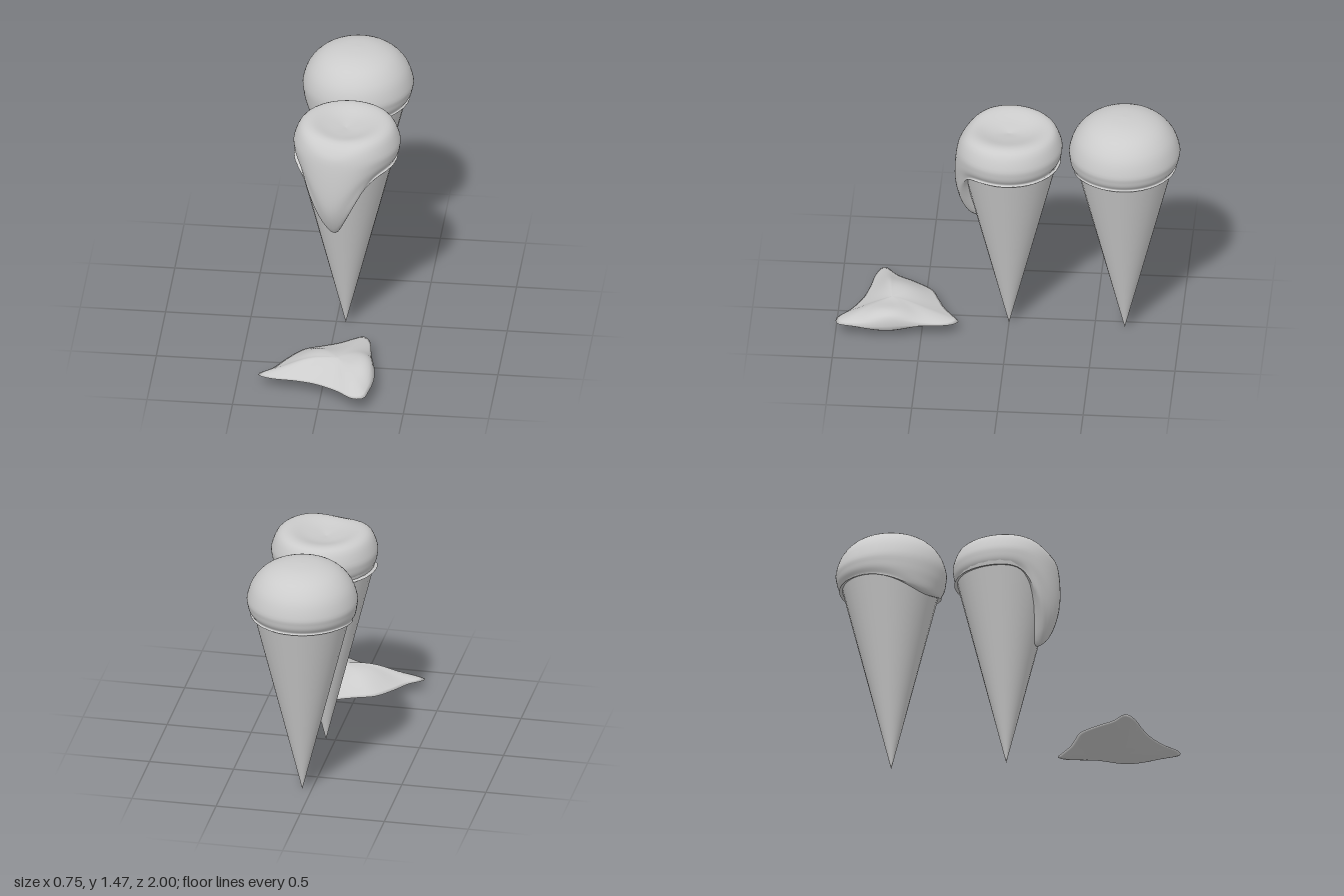
import * as THREE from 'three';

const material = new THREE.MeshStandardMaterial({ color: 0xcccccc, side: THREE.DoubleSide });
const CONE_H = 1.2, SLOPE = 0.248, CONE_X = 0.055;

// Smooth skin from rows of points; each row is a closed loop
function loft(rows) {
  const cols = rows[0].length, index = [];
  for (let i = 0; i < rows.length - 1; i++) {
    for (let j = 0; j < cols; j++) {
      const k = (j + 1) % cols;
      const a = i * cols + j, b = (i + 1) * cols + j, c = (i + 1) * cols + k, d = i * cols + k;
      index.push(a, b, c, a, c, d);
    }
  }
  const g = new THREE.BufferGeometry();
  g.setAttribute('position', new THREE.Float32BufferAttribute(rows.flat(2), 3));
  g.setIndex(index);
  g.computeVertexNormals();
  return g;
}

function mesh(name, geometry) {
  const m = new THREE.Mesh(geometry, material);
  m.name = name;
  return m;
}

const deg = Math.PI / 180;
const bell = (d, width) => Math.exp(-((d / width) ** 2));
const lerp = THREE.MathUtils.lerp;

// Scoop: crown(a) gives the [radius, y] points above the widest line,
// rim(a) the height of the lower edge, which follows the cone
function scoop(crown, rim, radius) {
  const cols = 72, steps = 32;
  const profiles = [];
  for (let j = 0; j < cols; j++) {
    const a = (j / cols) * 2 * Math.PI - Math.PI;
    const R = radius(a), b = rim(a);
    const top = crown(a);
    const shoulder = top[top.length - 1][1];
    const h = shoulder - b;
    const edge = b * SLOPE;
    const long = THREE.MathUtils.clamp((h - 0.15) / 0.35, 0, 1);
    const pts = [
      ...top.map(([r, y]) => [r * R, y]),
      [R * lerp(0.99, 1.02, long), b + h * 0.6],
      [lerp(R * 0.965, R * 0.97, long), b + h * 0.32],
      [lerp(R * 0.91, edge + 0.065, long), b + h * 0.07],
      [edge + 0.02, b],
      [edge - 0.012, b + 0.012],
    ].map(([r, y]) => new THREE.Vector2(r, y));
    profiles.push(new THREE.SplineCurve(pts).getPoints(steps).map((p) =>
      [p.x * Math.sin(a), p.y, p.x * Math.cos(a)]));
  }
  return loft(profiles[0].map((_, i) => profiles.map((p) => p[i])));
}

function cone() {
  const g = new THREE.ConeGeometry(CONE_H * SLOPE, CONE_H, 28, 8);
  g.rotateX(Math.PI);
  g.translate(0, CONE_H / 2, 0);
  return g;
}

function iceCream(name, z, scoopGeometry) {
  const g = new THREE.Group();
  g.name = name;
  g.add(mesh('cone', cone()), mesh('scoop', scoopGeometry));
  g.position.set(CONE_X, 0, z);
  return g;
}

// Flat melted scoop with a long drip down the front
function meltingScoop() {
  const drip = (a) => bell(a + 12 * deg, 32 * deg);
  const crown = (a) => {
    const f = drip(a), side = 0.008 * Math.sin(a) ** 2;
    return [
      [0, 1.318],
      [0.35, 1.33 + side],
      [0.68, lerp(1.355, 1.342, f) + side],
      [0.88, lerp(1.338, 1.29, f)],
      [lerp(0.99, 0.97, f), lerp(1.26, 1.21, f)],
    ];
  };
  return scoop(crown, (a) => 1.14 - 0.42 * drip(a), (a) => 0.312 + 0.008 * Math.sin(a));
}

// Full rounded scoop, sagging a little at the front
function roundScoop() {
  const crown = () => [[0, 1.465], [0.36, 1.455], [0.68, 1.415], [0.9, 1.34], [1, 1.25]];
  return scoop(crown, (a) => 1.14 - 0.1 * bell(a + 35 * deg, 50 * deg), () => 0.322);
}

// Three-cornered puddle, swept from its centre over the top and back underneath
function puddle() {
  const outline = [
    [0.2, 0.995], [0.262, 0.99], [0.29, 0.9], [0.305, 0.8], [0.3, 0.7], [0.26, 0.5], [0.23, 0.33],
    [0.19, 0.285], [0.13, 0.32], [0.05, 0.375], [-0.04, 0.415], [-0.14, 0.46], [-0.23, 0.57],
    [-0.3, 0.68], [-0.37, 0.74], [-0.375, 0.765], [-0.3, 0.8], [-0.15, 0.825], [-0.03, 0.855], [0.1, 0.92],
  ].map(([x, z]) => new THREE.Vector3(x, 0, z));
  const loop = new THREE.CatmullRomCurve3(outline, true).getSpacedPoints(80).slice(0, 80);
  const cx = 0.08, cz = 0.68, rings = 16, rows = [];
  for (let i = 0; i <= rings * 2; i++) {
    const under = i > rings;
    const s = under ? 2 - i / rings : i / rings;
    rows.push(loop.map((p) => {
      const x = cx + (p.x - cx) * s, z = cz + (p.z - cz) * s;
      // the right side has a thick round edge, the corners taper
      const k = Math.max(0, (p.x - cx) / Math.hypot(p.x - cx, p.z - cz)) ** 3;
      const w = (1 - s ** (1.4 + 4 * k)) ** (1 - 0.5 * k);
      const edge = 0.08 + 0.02 * k - 0.012 * bell(p.x + 0.38, 0.2);
      const high = 0.15 + 0.065 * bell(Math.hypot(x + 0.12, z - 0.6), 0.17)
        + 0.03 * bell(Math.hypot(x - 0.26, (z - 0.7) * 0.6), 0.12);
      return [x, lerp(edge, under ? 0.033 : high, w), z];
    }));
  }
  return loft(rows);
}

export function createModel() {
  const model = new THREE.Group();
  model.name = 'iceCreams';
  model.add(
    iceCream('freshIceCream', -0.675, roundScoop()),
    iceCream('meltingIceCream', 0, meltingScoop()),
    mesh('meltedPuddle', puddle()),
  );
  return model;
}
